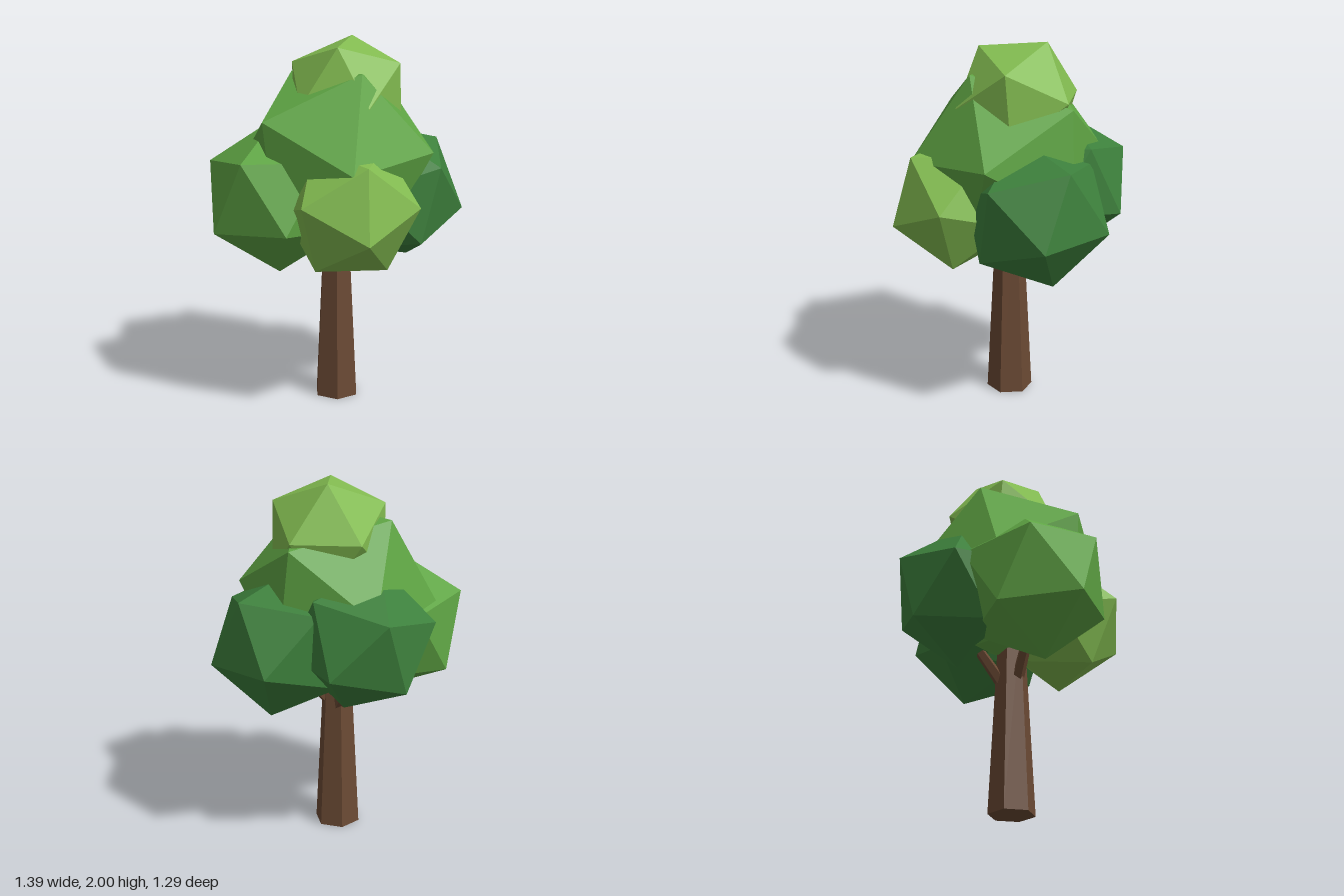
import * as THREE from 'three';

const material = (color) => new THREE.MeshStandardMaterial({ color, flatShading: true });
const BARK = material(0x6b4a34);
const LIGHT = material(0x82bb50);
const MID = material(0x5fa544);
const DARK = material(0x3d803c);

const vec = (p) => new THREE.Vector3(...p);

// Orthonormal frame whose x axis is a and whose xy plane holds b
function frame(a, b) {
  const x = a.clone().normalize();
  const z = a.clone().cross(b).normalize();
  return new THREE.Matrix4().makeBasis(x, z.clone().cross(x), z);
}

// Two neighbouring corners of the unrotated icosahedron
const GOLDEN = (1 + Math.sqrt(5)) / 2;
const restFrame = frame(new THREE.Vector3(-1, GOLDEN, 0), new THREE.Vector3(1, GOLDEN, 0));

// Icosahedron turned so that one corner points at cornerA and a neighbour at cornerB
function leafClump(name, mat, radius, center, cornerA, cornerB) {
  const c = vec(center);
  const turn = frame(vec(cornerA).sub(c), vec(cornerB).sub(c)).multiply(restFrame.clone().transpose());
  const mesh = new THREE.Mesh(new THREE.IcosahedronGeometry(radius, 0), mat);
  mesh.name = name;
  mesh.quaternion.setFromRotationMatrix(turn);
  mesh.position.copy(c);
  return mesh;
}

// Tapered cylinder between two points
function limb(name, from, to, r0, r1, sides) {
  const a = vec(from), b = vec(to);
  const dir = b.clone().sub(a);
  const mesh = new THREE.Mesh(new THREE.CylinderGeometry(r1, r0, dir.length(), sides), BARK);
  mesh.name = name;
  mesh.position.copy(a).add(b).multiplyScalar(0.5);
  mesh.quaternion.setFromUnitVectors(new THREE.Vector3(0, 1, 0), dir.normalize());
  return mesh;
}

export function createModel() {
  const tree = new THREE.Group();
  tree.name = 'tree';

  // Trunk and the short branches hidden in the leaves
  tree.add(
    limb('trunk', [-0.015, 0, 0], [-0.015, 1.05, 0], 0.127, 0.073, 6),
    limb('leftBranch', [0.02, 0.73, 0], [0.25, 1.0, -0.02], 0.036, 0.026, 5),
    limb('rightBranch', [-0.05, 0.73, 0.02], [-0.24, 1.0, 0.06], 0.036, 0.026, 5),
    limb('backBranch', [-0.01, 0.73, -0.05], [-0.04, 0.98, -0.24], 0.036, 0.026, 5),
  );

  // Crown: radius, centre and two neighbouring corners of each clump
  const clumps = [
    ['centerLeaves', MID, 0.546, [-0.02, 1.36, -0.005], [0.11, 1.84, 0.22], [0.5, 1.4, 0.17]],
    ['topLeaves', LIGHT, 0.348, [0.042, 1.69, -0.036], [0.08, 2.0, -0.19], [0.325, 1.88, 0.055]],
    ['frontLeaves', LIGHT, 0.375, [0.048, 1.138, 0.289], [0.125, 1.03, 0.64], [0.125, 1.415, 0.54]],
    ['rightLeaves', MID, 0.42, [-0.331, 1.169, 0.057], [-0.675, 1.0, 0.235], [-0.52, 1.4, 0.355]],
    ['leftLeaves', DARK, 0.403, [0.304, 1.144, -0.11], [0.695, 1.045, -0.11], [0.56, 1.42, -0.25]],
    ['backLeaves', DARK, 0.397, [-0.078, 1.198, -0.292], [-0.13, 1.37, -0.645], [0.155, 1.08, -0.59]],
  ];
  for (const clump of clumps) tree.add(leafClump(...clump));

  return tree;
}
